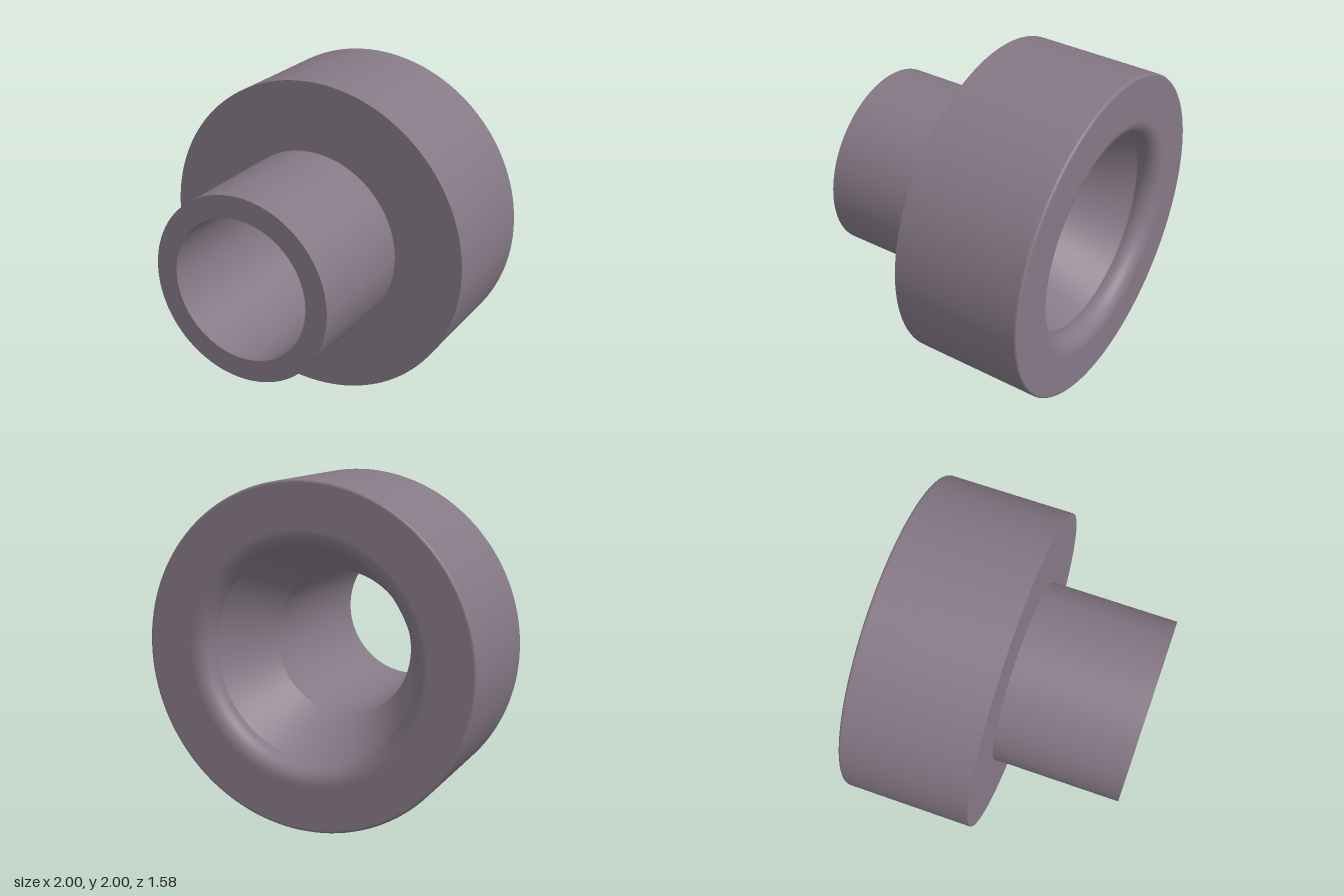
import * as THREE from 'three';

const SEGMENTS = 128;
const BACK = -0.79, FRONT = 0.79;
const OUTER = 1, TUBE = 0.57, BORE = 0.435;

// Points [radius, z] along an arc around (r, z), angles in degrees
function arc(r, z, size, from, to, steps) {
  const points = [];
  for (let i = 0; i <= steps; i++) {
    const a = THREE.MathUtils.degToRad(from + ((to - from) * i) / steps);
    points.push([r + size * Math.cos(a), z + size * Math.sin(a)]);
  }
  return points;
}

export function createModel() {
  const material = new THREE.MeshStandardMaterial({ color: 0x857885 });
  material.name = 'mauve grey';
  const group = new THREE.Group();
  group.name = 'flangedBushing';

  // Turned surface around the z axis; separate surfaces keep their shared edges sharp
  function turn(name, points) {
    const geometry = new THREE.LatheGeometry(points.map(([r, z]) => new THREE.Vector2(r, z)), SEGMENTS);
    geometry.rotateX(Math.PI / 2);
    const mesh = new THREE.Mesh(geometry, material);
    mesh.name = name;
    mesh.position.y = 1;
    group.add(mesh);
  }

  // Wide collar: funnel, rounded mouth, back face, softened rim and outer wall
  const lip = 0.1, mouth = 0.725, rim = 0.015;
  turn('collar', [
    [BORE, -0.285],
    ...arc(mouth, BACK + lip, lip, 155, 270, 14),
    [mouth + 0.01, BACK],
    [OUTER - rim - 0.01, BACK],
    ...arc(OUTER - rim, BACK + rim, rim, 270, 360, 6),
    [OUTER, BACK + rim + 0.01],
    [OUTER, 0],
  ]);
  turn('collarShoulder', [[OUTER, 0], [TUBE, 0]]);

  // Narrow tube with a straight bore
  turn('tubeWall', [[TUBE, 0], [TUBE, FRONT]]);
  turn('tubeEnd', [[TUBE, FRONT], [BORE, FRONT]]);
  turn('bore', [[BORE, FRONT], [BORE, -0.285]]);

  return group;
}
